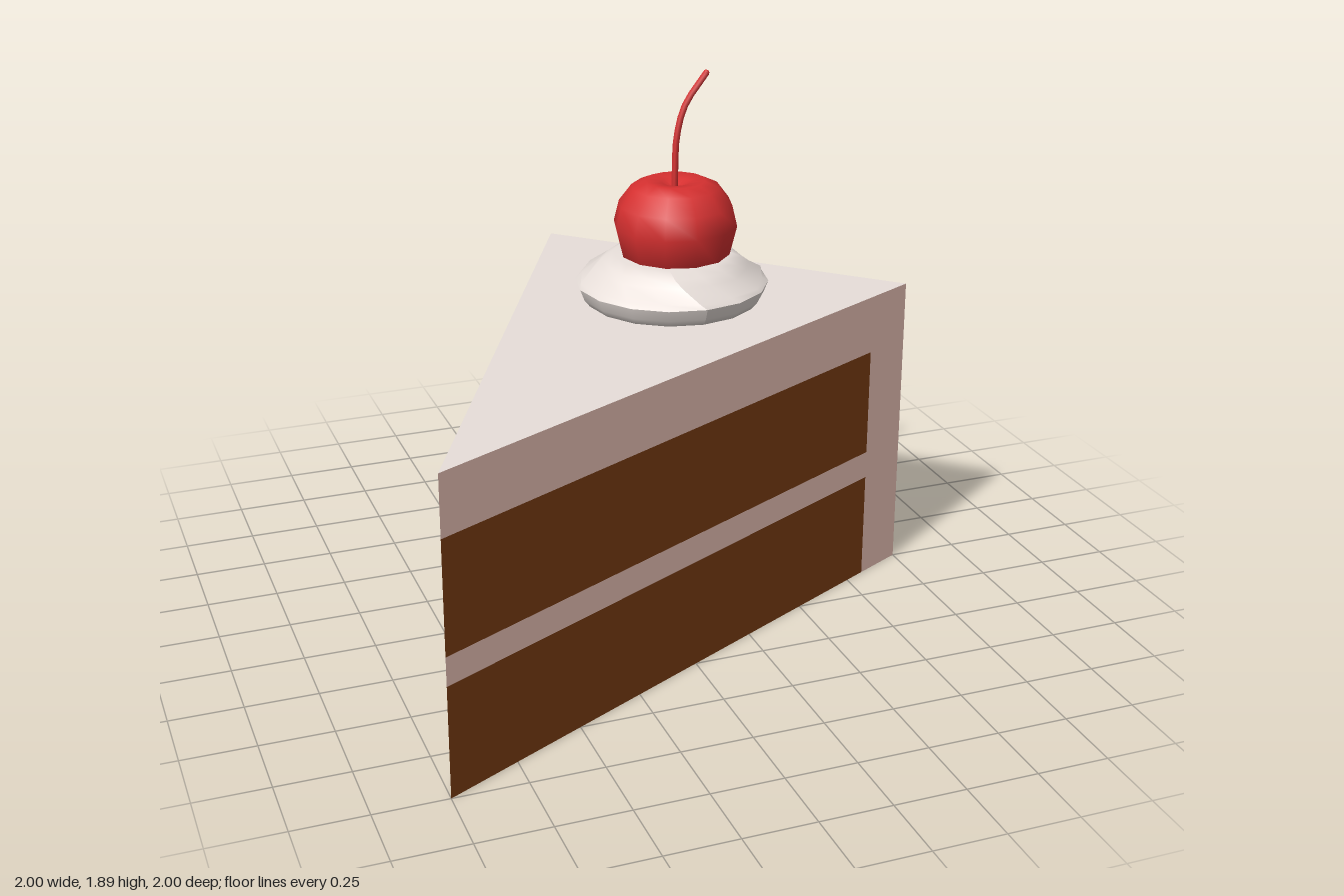
import * as THREE from 'three';

const mat = (name, color, extra = {}) => Object.assign(new THREE.MeshStandardMaterial({ color, ...extra }), { name });

export function createModel() {
  const pink = mat('pink frosting', 0xe6beb4);
  const cream = mat('cream', 0xe9e0db);
  const sponge = mat('chocolate sponge', 0x783c12);
  const red = mat('cherry red', 0xd63030);

  const group = new THREE.Group();
  const add = (name, geometry, material) => {
    const mesh = new THREE.Mesh(geometry, material);
    mesh.name = name;
    group.add(mesh);
    return mesh;
  };

  // Plan of the slice: tip and the two outer corners, as [x, z]
  const tip = [-1, 1], right = [1, 0], back = [-0.02, -1];
  const along = (corner, t) => tip.map((v, i) => v + (corner[i] - v) * t);
  const innerRight = along(right, 0.913), innerBack = along(back, 0.913);

  // Upright prism over a plan between two heights
  const prism = (name, plan, y0, y1, material) => {
    const shape = new THREE.Shape(plan.map(([x, z]) => new THREE.Vector2(x, -z)));
    const geo = new THREE.ExtrudeGeometry(shape, { depth: y1 - y0, bevelEnabled: false });
    geo.rotateX(-Math.PI / 2).translate(0, y0, 0);
    return add(name, geo, material);
  };

  // Sponge, filling and frosting
  const inner = [tip, innerRight, innerBack];
  prism('lowerSponge', inner, 0, 0.39, sponge);
  prism('filling', inner, 0.39, 0.49, pink);
  prism('upperSponge', inner, 0.49, 0.88, sponge);
  prism('outerFrosting', [innerRight, right, back, innerBack], 0, 0.88, pink);
  prism('topFrosting', [tip, right, back], 0.88, 1.09, [cream, pink]);

  // Whipped cream dollop: a lathe whose shoulder is gently twisted and rippled
  const profile = (pts) => pts.map(([r, y]) => new THREE.Vector2(r, y));
  const dollop = new THREE.LatheGeometry(profile([
    [0, 1.09], [0.305, 1.09], [0.325, 1.115], [0.34, 1.155],
    [0.34, 1.155], [0.325, 1.172], [0.27, 1.212], [0.245, 1.235], [0.205, 1.256], [0, 1.262],
  ]), 16);
  const p = dollop.attributes.position;
  for (let i = 0; i < p.count; i++) {
    const x = p.getX(i), z = p.getZ(i), y = p.getY(i);
    const rise = Math.max(0, y - 1.156);
    const a = Math.atan2(z, x) + rise * 4;
    const r = Math.hypot(x, z) * (1 + (rise > 0 ? 0.02 * Math.cos(8 * Math.atan2(z, x)) : 0));
    p.setX(i, r * Math.cos(a));
    p.setZ(i, r * Math.sin(a));
  }
  dollop.computeVertexNormals();
  add('whippedCream', dollop, cream).position.set(0.16, 0, -0.165);

  // Cherry with a dimple at the stem
  const cherry = new THREE.LatheGeometry(profile([
    [0, 1.17], [0.12, 1.19], [0.19, 1.245], [0.218, 1.36], [0.2, 1.435],
    [0.155, 1.495], [0.105, 1.517], [0.05, 1.51], [0, 1.48],
  ]), 12);
  add('cherry', cherry, red).position.set(0.172, 0, -0.165);

  // Curved stem
  const stemCurve = new THREE.CatmullRomCurve3([
    [0.168, 1.47, -0.163], [0.17, 1.55, -0.165], [0.178, 1.67, -0.17],
    [0.21, 1.775, -0.177], [0.287, 1.882, -0.177],
  ].map((v) => new THREE.Vector3(...v)));
  add('stem', new THREE.TubeGeometry(stemCurve, 10, 0.012, 6), red);
  const cap = add('stemTip', new THREE.SphereGeometry(0.012, 6, 4), red);
  cap.position.copy(stemCurve.getPoint(1));

  return group;
}
